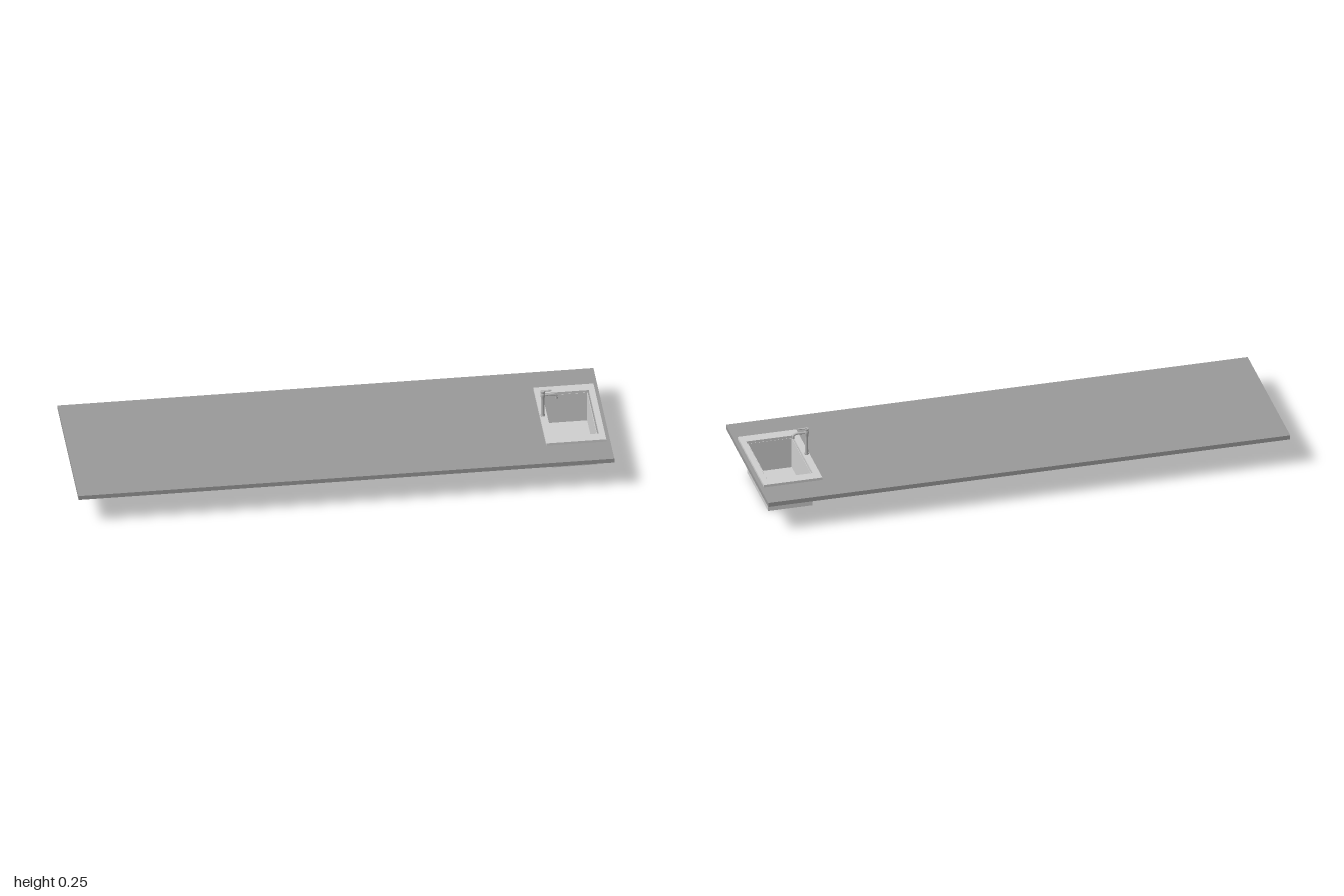
import * as THREE from 'three';

const counterMat = new THREE.MeshStandardMaterial({ name: 'counter grey', color: 0x999999 });
const sinkMat = new THREE.MeshStandardMaterial({ name: 'sink light grey', color: 0xcfcfcf });
const tapMat = new THREE.MeshStandardMaterial({ name: 'tap metal', color: 0xb6b6b6 });

const SINK_X = 0.873; // centre of the sink along the counter

function add(parent, name, geometry, material, x = 0, y = 0, z = 0) {
  const mesh = new THREE.Mesh(geometry, material);
  mesh.name = name;
  mesh.position.set(x, y, z);
  parent.add(mesh);
  return mesh;
}

function rect(path, cx, w, d) {
  path.moveTo(cx - w / 2, -d / 2);
  path.lineTo(cx + w / 2, -d / 2);
  path.lineTo(cx + w / 2, d / 2);
  path.lineTo(cx - w / 2, d / 2);
  path.closePath();
  return path;
}

// Flat slab from y = 0 to y = h with a rectangular opening
function frame(w, d, holeX, holeW, holeD, h) {
  const shape = rect(new THREE.Shape(), 0, w, d);
  shape.holes.push(rect(new THREE.Path(), holeX, holeW, holeD));
  return new THREE.ExtrudeGeometry(shape, { depth: h, bevelEnabled: false }).rotateX(-Math.PI / 2);
}

function createTap() {
  const tap = new THREE.Group();
  tap.name = 'tap';

  // Column with a small foot and a collar at the top
  const profile = [[0, 0], [0.009, 0], [0.009, 0.002], [0.0065, 0.004], [0.006, 0.07],
    [0.0075, 0.082], [0.0085, 0.088], [0.0085, 0.096], [0.006, 0.099], [0, 0.099]];
  add(tap, 'column', new THREE.LatheGeometry(profile.map(p => new THREE.Vector2(...p)), 24), tapMat);

  // Spout reaching over the basin, ending in a downturned nozzle
  const path = new THREE.CatmullRomCurve3([[0, 0.089], [0.025, 0.091], [0.042, 0.09], [0.05, 0.084], [0.051, 0.077]]
    .map(([x, y]) => new THREE.Vector3(x, y, 0)));
  add(tap, 'spout', new THREE.TubeGeometry(path, 20, 0.0045, 12), tapMat);
  add(tap, 'nozzle', new THREE.CylinderGeometry(0.0052, 0.0052, 0.007, 16), tapMat, 0.051, 0.076);

  // Handle cap and lever
  add(tap, 'handleCap', new THREE.CylinderGeometry(0.0085, 0.0075, 0.009, 24), tapMat, 0, 0.1035);
  const lever = add(tap, 'lever', new THREE.BoxGeometry(0.034, 0.003, 0.007), tapMat, 0.016, 0.108);
  lever.rotation.z = 0.04;
  return tap;
}

export function createModel() {
  const model = new THREE.Group();
  model.name = 'countertopWithSink';

  // Worktop with a cut-out for the basin
  add(model, 'countertop', frame(2, 0.614, SINK_X, 0.17, 0.296, 0.017), counterMat, 0, 0.109);

  // Inset sink: raised rim, thin walls and floor
  const sink = new THREE.Group();
  sink.name = 'sink';
  sink.position.x = SINK_X;
  add(sink, 'rim', frame(0.224, 0.378, 0.002, 0.176, 0.294, 0.01), sinkMat, 0, 0.126);
  add(sink, 'basinWalls', frame(0.17, 0.296, 0, 0.166, 0.292, 0.126), sinkMat);
  add(sink, 'basinFloor', new THREE.BoxGeometry(0.167, 0.003, 0.293), sinkMat, 0, 0.0016);
  model.add(sink);

  // Single-lever tap on the rim
  const tap = createTap();
  tap.position.set(0.772, 0.136, 0);
  model.add(tap);

  return model;
}
